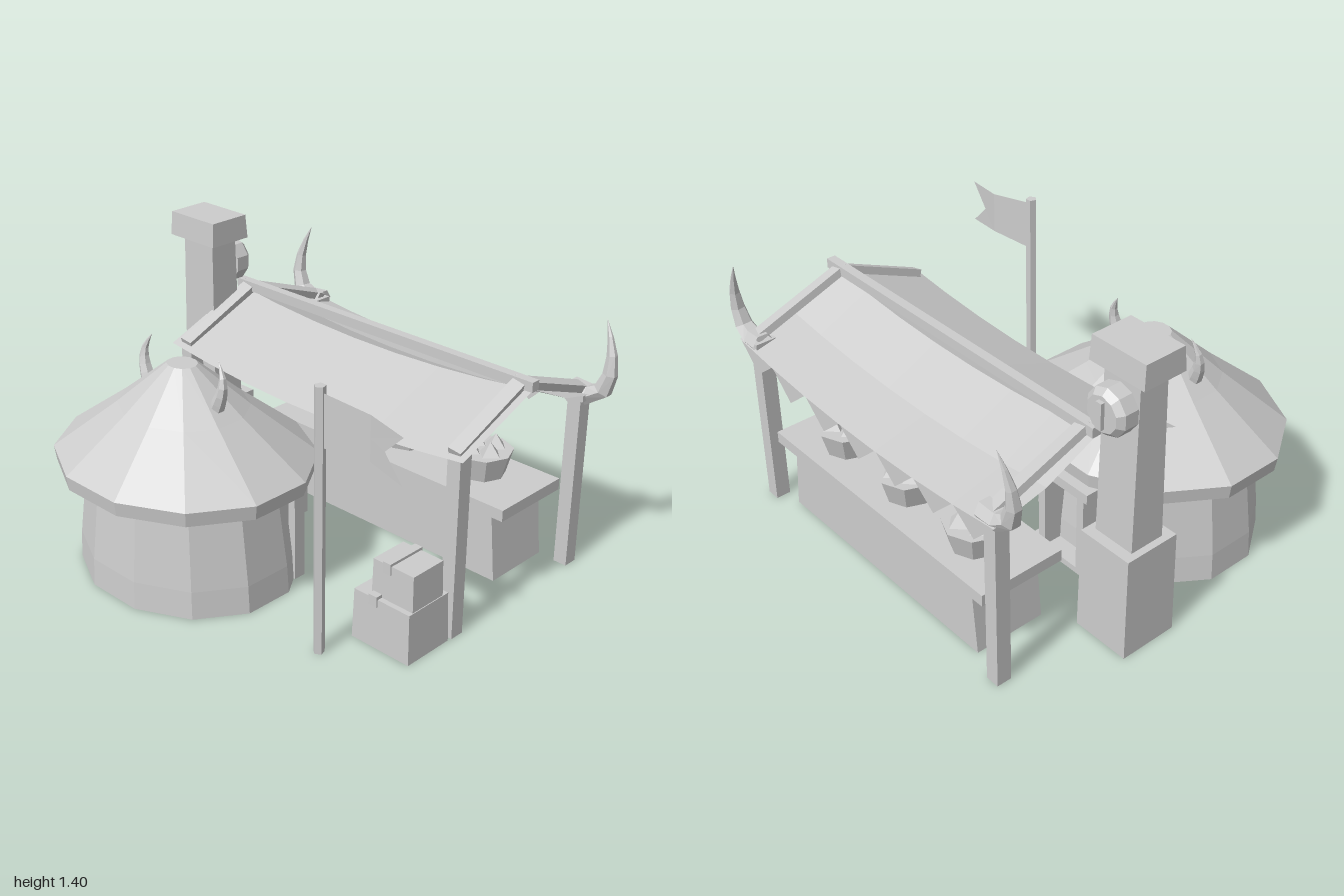
import * as THREE from 'three';

export function createModel() {
  const root = new THREE.Group();
  root.name = 'marketStallAndHut';
  const clay = new THREE.MeshStandardMaterial({ color: 0xcccccc, flatShading: true, side: THREE.DoubleSide });
  clay.name = 'plain light grey';
  const V = (x, y, z) => new THREE.Vector3(x, y, z);

  const add = (name, geo, x = 0, y = 0, z = 0, parent = root) => {
    const m = new THREE.Mesh(geo, clay);
    m.name = name;
    m.position.set(x, y, z);
    parent.add(m);
    return m;
  };

  // Box given by its limits, with the top optionally scaled in x and z
  const block = (name, x0, x1, y0, y1, z0, z1, tx = 1, tz = tx) => {
    const g = new THREE.BoxGeometry(x1 - x0, y1 - y0, z1 - z0);
    const p = g.attributes.position;
    for (let i = 0; i < p.count; i++) {
      if (p.getY(i) > 0) p.setXYZ(i, p.getX(i) * tx, p.getY(i), p.getZ(i) * tz);
    }
    return add(name, g, (x0 + x1) / 2, (y0 + y1) / 2, (z0 + z1) / 2);
  };

  // Slightly rolled beam between two points
  const beam = (name, a, b, w, h) => {
    const g = new THREE.BoxGeometry(w, h, a.distanceTo(b));
    g.rotateZ(0.2);
    const m = add(name, g);
    m.position.copy(a).lerp(b, 0.5);
    m.lookAt(b);
    return m;
  };

  // Curved horn tapering to a point
  const horn = (name, pts, r) => {
    const curve = new THREE.CatmullRomCurve3(pts);
    const n = 6, sides = 6;
    const g = new THREE.TubeGeometry(curve, n, r, sides, false);
    const p = g.attributes.position, v = V(0, 0, 0);
    for (let i = 0; i < p.count; i++) {
      const t = Math.floor(i / (sides + 1)) / n;
      const c = curve.getPointAt(t);
      v.fromBufferAttribute(p, i).sub(c).multiplyScalar(1 - t ** 1.5).add(c);
      p.setXYZ(i, v.x, v.y, v.z);
    }
    return add(name, g);
  };

  // Twelve-sided oval hut, open underneath
  const oval = (name, pts, depth) => {
    const k = 1 / Math.cos(Math.PI / 12);
    const g = new THREE.LatheGeometry(pts.map(([r, y]) => new THREE.Vector2(r * k, y)), 12, Math.PI / 12);
    g.scale(1, 1, depth);
    add(name, g, -0.38, 0, 0.362);
  };
  oval('hutWall', [[0.52, 0], [0.512, 0.13], [0.463, 0.51]], 0.85);
  oval('hutRoof', [[0.44, 0.5], [0.59, 0.5], [0.6, 0.567], [0.3, 0.79], [0.07, 0.978], [0, 0.978]], 0.884);
  for (const s of [-1, 1]) {
    const x = (d) => -0.38 + s * d;
    horn('roofHorn', [V(x(0.22), 0.83, 0.372), V(x(0.252), 0.92, 0.365), V(x(0.25), 0.98, 0.357), V(x(0.215), 1.045, 0.345)], 0.034);
  }

  // Doorway at the back of the hut
  for (const x of [-0.52, -0.28]) block('doorJamb', x, x + 0.04, 0, 0.42, -0.17, 0.02);
  block('doorLintel', -0.54, -0.22, 0.41, 0.457, -0.17, 0.02);
  block('doorStep', -0.58, -0.18, 0, 0.03, -0.17, 0);

  // Post and bracket against the hut's side
  block('hutSidePost', 0.045, 0.085, 0, 0.5, 0.09, 0.15);
  block('hutSideBracket', 0.0, 0.05, 0.29, 0.41, 0.035, 0.07);

  // Chimney with a round plaque on its back
  block('chimneyBase', -0.995, -0.715, 0, 0.5, -0.378, -0.1, 0.96);
  block('chimneyShaft', -0.957, -0.753, 0.5, 1.3, -0.323, -0.155, 0.93, 0.84);
  block('chimneyCap', -1, -0.71, 1.29, 1.4, -0.343, -0.128, 0.97, 0.93);
  const disc = [[0, 0], [0.105, 0], [0.105, 0.065], [0.08, 0.092], [0, 0.092]];
  const plaque = add('roundPlaque', new THREE.LatheGeometry(disc.map(([r, y]) => new THREE.Vector2(r, y)), 10), -0.855, 1.15, -0.32);
  plaque.rotation.x = -Math.PI / 2;
  block('plaqueBar', -0.87, -0.84, 1.09, 1.21, -0.43, -0.4);

  // Canopy posts, rafters and corner horns, mirrored about the stall centre
  const cx = 0.052;
  for (const s of [-1, 1]) {
    const x = cx + s * 0.795;
    block('frontPost', x - 0.033, x + 0.033, 0, 0.85, -0.045, 0.025);
    block('backPost', x - 0.033, x + 0.033, 0, 0.84, -0.86, -0.79);
    beam('frontRafter', V(x, 0.86, 0.025), V(x, 1.04, -0.4), 0.062, 0.035);
    beam('backRafter', V(x, 1.04, -0.37), V(x, 0.86, -0.86), 0.062, 0.035);
    block('postPlate', x - 0.05, x + 0.05, 0.825, 0.855, -0.88, -0.78);
    const h = (d) => cx + s * d;
    horn('cornerHorn', [V(h(0.75), 0.845, -0.842), V(h(0.87), 0.85, -0.842), V(h(0.92), 0.94, -0.848),
      V(h(0.915), 1.06, -0.86), V(h(0.865), 1.195, -0.877)], 0.052);
  }
  block('ridgeBeam', -0.81, 0.92, 1.015, 1.06, -0.41, -0.367);

  // Sagging awning cloth over the ridge
  const half = 0.86, cols = 7;
  const sag = (u) => 0.06 * (1 - u * u);
  const profile = [[0.052, 0.85], [-0.385, 1.02], [-0.635, 0.9], [-0.892, 0.84]];
  const cloth = new THREE.PlaneGeometry(2, 1, cols, profile.length - 1);
  const cp = cloth.attributes.position;
  for (let i = 0; i < cp.count; i++) {
    const [z, y] = profile[Math.floor(i / (cols + 1))];
    const u = cp.getX(i);
    cp.setXYZ(i, cx + u * half, y - sag(u), z);
  }
  // Rows run front to back, so reverse the corners to face upwards
  cloth.setIndex(Array.from(cloth.index.array).reverse());
  cloth.computeVertexNormals();
  add('awningCloth', cloth);

  // Triangular pennants along the back hem
  for (let i = 0; i < cols; i++) {
    const u0 = -1 + (2 * i) / cols, u1 = u0 + 2 / cols, um = (u0 + u1) / 2;
    const tri = new THREE.Shape([
      new THREE.Vector2(cx + u0 * half, 0.84 - sag(u0)),
      new THREE.Vector2(cx + um * half, 0.73 - sag(um)),
      new THREE.Vector2(cx + u1 * half, 0.84 - sag(u1)),
    ]);
    add('pennant', new THREE.ShapeGeometry(tri), 0, 0, -0.888);
  }

  // Counter with baskets of pointed goods
  block('counterBody', -0.58, 0.725, 0, 0.34, -0.8, -0.457, 0.95, 1);
  block('counterTop', -0.665, 0.775, 0.335, 0.39, -0.84, -0.425);
  for (const x of [-0.4, 0.04, 0.48]) {
    const basket = new THREE.Group();
    basket.name = 'basket';
    basket.position.set(x, 0.39, -0.652);
    root.add(basket);
    add('basketBowl', new THREE.CylinderGeometry(0.142, 0.11, 0.115, 8), 0, 0.0575, 0, basket);
    for (let i = 0; i < 4; i++) {
      const a = (i / 4) * Math.PI * 2 + 0.4;
      add('goods', new THREE.ConeGeometry(0.066, 0.075, 4), Math.cos(a) * 0.065, 0.14, Math.sin(a) * 0.065, basket);
    }
  }

  // Stacked crates with straps
  block('lowerCrate', 0.565, 0.875, 0, 0.235, 0.042, 0.296, 0.96);
  block('lowerStrapTop', 0.655, 0.7, 0.23, 0.25, 0.04, 0.298);
  for (const z of [0.04, 0.288]) block('lowerStrapEnd', 0.655, 0.7, 0.2, 0.25, z, z + 0.01);
  block('upperCrate', 0.645, 0.865, 0.235, 0.4, 0.078, 0.266, 0.97);
  block('upperStrap', 0.705, 0.745, 0.36, 0.412, 0.074, 0.27);

  // Flagpole and gently bent swallow-tailed flag
  add('flagPole', new THREE.CylinderGeometry(0.025, 0.025, 1.205, 5), 0.546, 0.6025, 0.475);
  const columns = [
    { x: 0.56, top: 1.178, low: 0.945, z: 0.475 },
    { x: 0.78, top: 1.15, low: 0.955, z: 0.447 },
    { x: 0.97, top: 1.135, low: 0.935, z: 0.482 },
  ];
  const flag = new THREE.PlaneGeometry(1, 1, 2, 2);
  const fp = flag.attributes.position;
  for (let i = 0; i < fp.count; i++) {
    const c = columns[i % 3], row = Math.floor(i / 3);
    const notch = row === 1 && i % 3 === 2;
    fp.setXYZ(i, notch ? 0.865 : c.x, c.top + (c.low - c.top) * row / 2, notch ? 0.463 : c.z);
  }
  flag.computeVertexNormals();
  add('flag', flag);

  return root;
}
